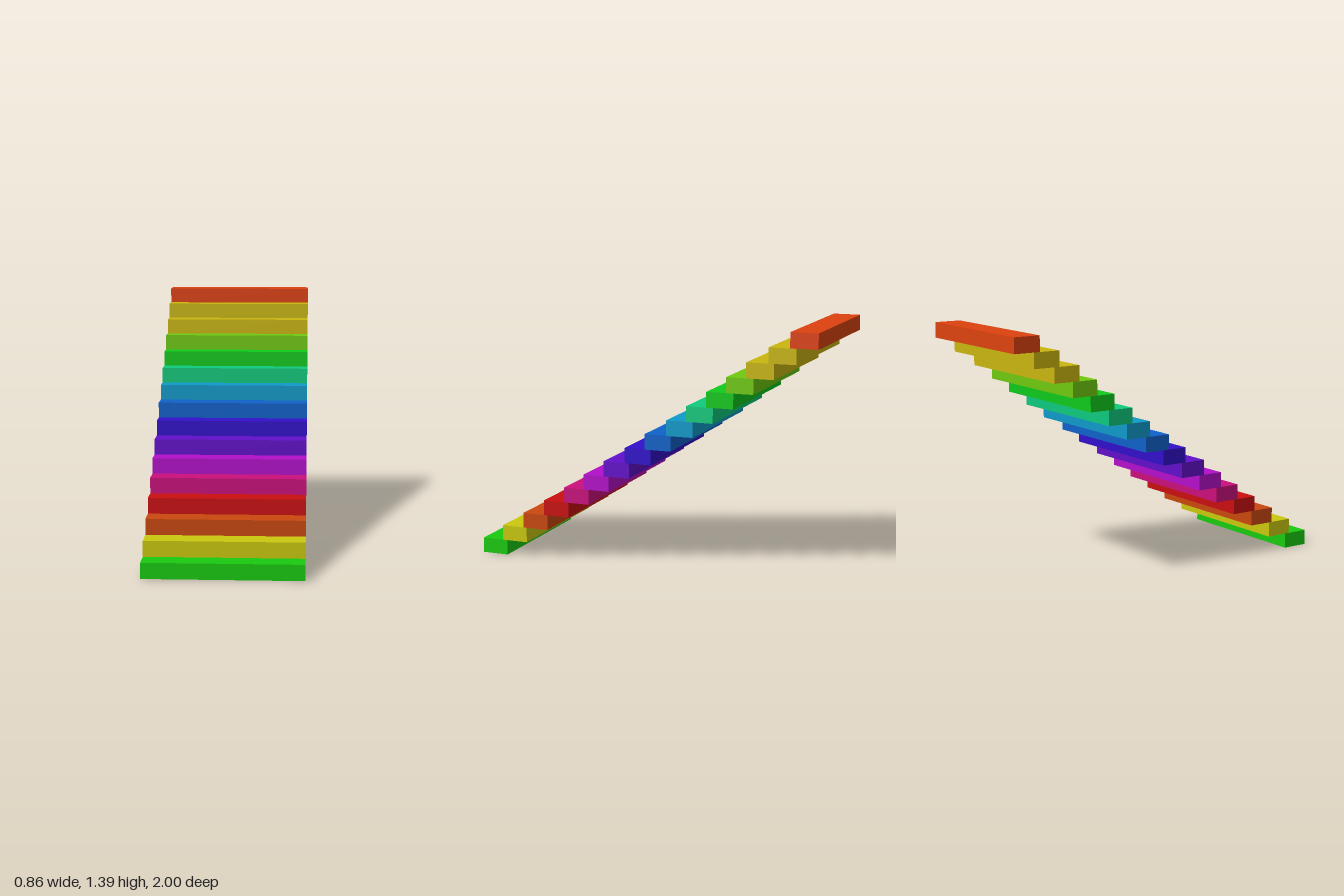
import * as THREE from 'three';

// Front edge (z) and colour of each tread, from bottom to top
const TREADS = [
  [1.0, 0x1acb10], [0.873, 0xcac80e], [0.738, 0xca480f], [0.605, 0xca0e10],
  [0.477, 0xca0f7c], [0.353, 0xb30fca], [0.23, 0x620fca], [0.1, 0x320fca],
  [-0.018, 0x0f62ca], [-0.147, 0x0f9bca], [-0.264, 0x0fca7e], [-0.38, 0x0fca1c],
  [-0.492, 0x70ca0f], [-0.605, 0xcab60f], [-0.728, 0xcab60f], [-0.846, 0xde420f],
];
const WIDTH = 0.86;
const DEPTH = 0.154;
const RISE = 1.387 / TREADS.length;

export function createModel() {
  const staircase = new THREE.Group();
  staircase.name = 'staircase';
  const geometry = new THREE.BoxGeometry(WIDTH, RISE, DEPTH);

  // Solid block treads, each stacked one rise above the last
  TREADS.forEach(([front, color], i) => {
    const tread = new THREE.Mesh(geometry, new THREE.MeshStandardMaterial({ color }));
    tread.name = `step${i + 1}`;
    tread.position.set(0, (i + 0.5) * RISE, front - DEPTH / 2);
    staircase.add(tread);
  });

  return staircase;
}
